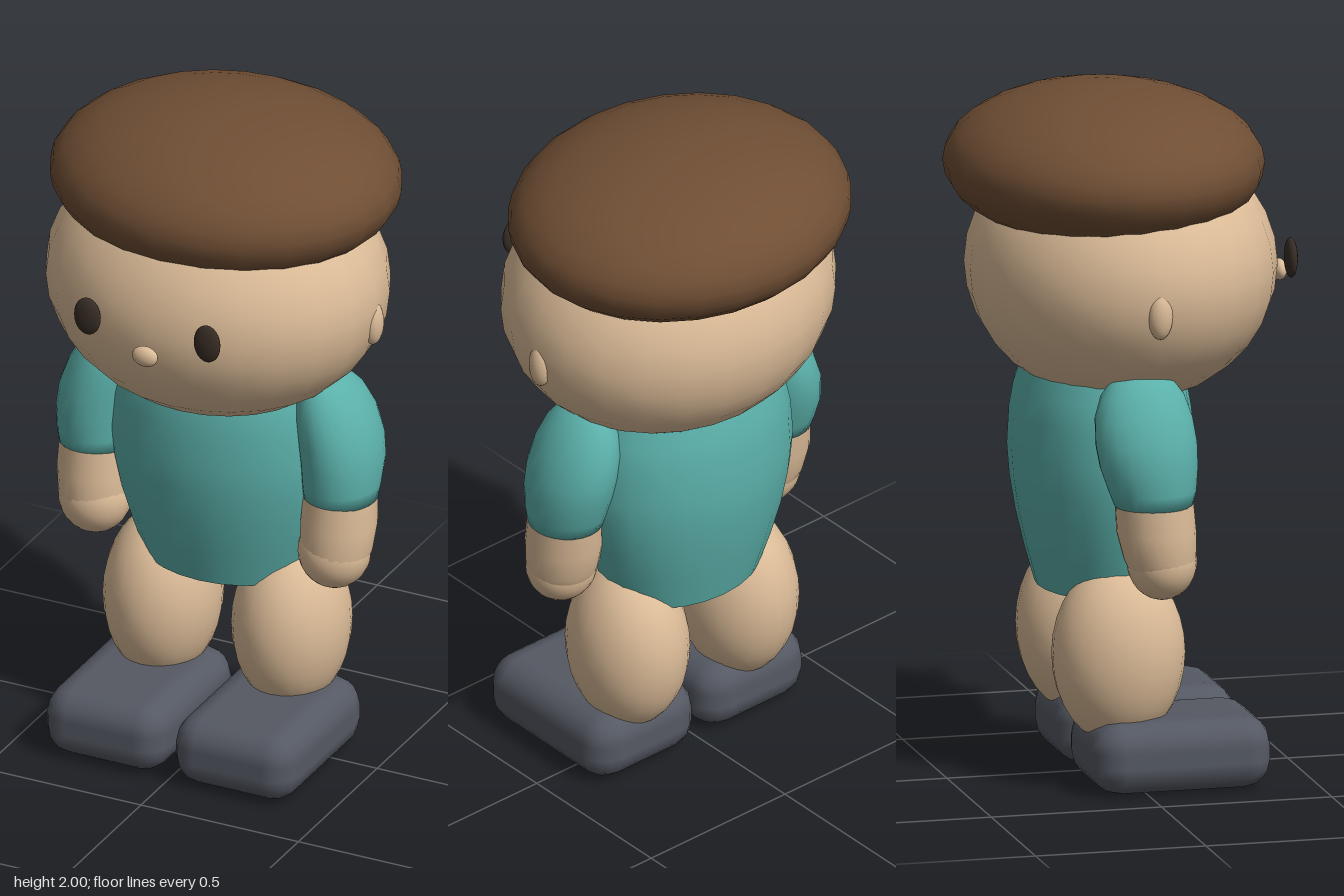
import * as THREE from 'three';
import { RoundedBoxGeometry } from 'three/addons/geometries/RoundedBoxGeometry.js';

const material = (name, color) => {
  const m = new THREE.MeshStandardMaterial({ color });
  m.name = name;
  return m;
};

function add(parent, name, geometry, mat, x = 0, y = 0, z = 0) {
  const mesh = new THREE.Mesh(geometry, mat);
  mesh.name = name;
  mesh.position.set(x, y, z);
  parent.add(mesh);
  return mesh;
}

const ellipsoid = (rx, ry, rz, segments = 24, rings = 16) =>
  new THREE.SphereGeometry(1, segments, rings).scale(rx, ry, rz);

// Smooth skin over elliptical rings [y, centreX, centreZ, radiusX, radiusZ], bottom to top
function loft(rings, segments = 24) {
  const positions = [], indices = [];
  for (const [y, cx, cz, rx, rz] of rings) {
    for (let i = 0; i < segments; i++) {
      const a = (i / segments) * Math.PI * 2;
      positions.push(cx + rx * Math.sin(a), y, cz + rz * Math.cos(a));
    }
  }
  for (let r = 0; r < rings.length - 1; r++) {
    for (let i = 0; i < segments; i++) {
      const a = r * segments + i, b = r * segments + (i + 1) % segments;
      indices.push(a, b, b + segments, a, b + segments, a + segments);
    }
  }
  const g = new THREE.BufferGeometry();
  g.setAttribute('position', new THREE.Float32BufferAttribute(positions, 3));
  g.setIndex(indices);
  g.computeVertexNormals();
  return g;
}

// Flat elliptical lid facing up or down
function lid(rx, rz, up) {
  return new THREE.CircleGeometry(1, 24).rotateX(up ? -Math.PI / 2 : Math.PI / 2).scale(rx, 1, rz);
}

export function createModel() {
  const model = new THREE.Group();
  model.name = 'figure';
  const skin = material('skin', 0xdcbc98);
  const shirt = material('teal shirt', 0x5bb0aa);
  const hair = material('brown hair', 0x6f4e34);
  const shoe = material('dark grey shoe', 0x555963);
  const dark = material('dark eye', 0x382d25);

  // Head, hair and face
  add(model, 'head', ellipsoid(0.505, 0.395, 0.442), skin, 0, 1.48, 0.01);
  add(model, 'hair', ellipsoid(0.515, 0.223, 0.455), hair, 0, 1.777, -0.04);
  add(model, 'nose', ellipsoid(0.04, 0.031, 0.021, 16, 12), skin, 0, 1.43, 0.475);

  // Torso, flat at both ends
  const torso = new THREE.Group();
  torso.name = 'torso';
  model.add(torso);
  const torsoRings = [
    [0.55, 0.183], [0.65, 0.211], [0.76, 0.237], [0.86, 0.253], [0.95, 0.26],
    [1.06, 0.254], [1.13, 0.242], [1.19, 0.223],
  ].map(([y, r]) => [y, 0, -0.05, r * 1.35, r]);
  add(torso, 'shirtBody', loft(torsoRings), shirt);
  add(torso, 'shirtHem', lid(0.247, 0.183, false), shirt, 0, 0.55, -0.05);
  add(torso, 'shirtTop', lid(0.301, 0.223, true), shirt, 0, 1.19, -0.05);

  for (const [side, s] of [['left', 1], ['right', -1]]) {
    add(model, side + 'Eye', ellipsoid(0.042, 0.058, 0.018, 16, 12), dark, s * 0.19, 1.508, 0.46);
    add(model, side + 'Ear', ellipsoid(0.03, 0.068, 0.036, 16, 12), skin, s * 0.487, 1.43, 0);

    // Sleeve leans inwards at the shoulder and closes round the forearm
    const sleeve = loft([
      [0.875, s * 0.385, 0.005, 0.08, 0.08],
      [0.858, s * 0.388, 0.006, 0.106, 0.113],
      [0.9, s * 0.389, 0.002, 0.111, 0.126],
      [0.97, s * 0.388, -0.008, 0.117, 0.141],
      [1.04, s * 0.379, -0.014, 0.117, 0.147],
      [1.11, s * 0.362, -0.017, 0.109, 0.141],
      [1.17, s * 0.345, -0.016, 0.092, 0.121],
      [1.21, s * 0.333, -0.014, 0.065, 0.09],
      [1.23, s * 0.326, -0.013, 0.038, 0.052],
      [1.237, s * 0.323, -0.012, 0.001, 0.001],
    ]);
    add(model, side + 'Sleeve', sleeve, shirt);

    const forearm = loft([
      [0.625, s * 0.38, 0.032, 0.07, 0.07],
      [0.66, s * 0.381, 0.031, 0.094, 0.09],
      [0.7, s * 0.383, 0.026, 0.105, 0.104],
      [0.78, s * 0.387, 0.014, 0.11, 0.114],
      [0.9, s * 0.388, 0.005, 0.102, 0.112],
    ]);
    add(model, side + 'Forearm', forearm, skin);
    add(model, side + 'Hand', ellipsoid(0.106, 0.11, 0.1), skin, s * 0.38, 0.69, 0.032);

    add(model, side + 'Leg', ellipsoid(0.168, 0.265, 0.192), skin, s * 0.204, 0.39, -0.05);
    add(model, side + 'Shoe', new RoundedBoxGeometry(0.386, 0.212, 0.525, 2, 0.085), shoe,
      s * 0.205, 0.108, 0.103);
  }
  return model;
}
